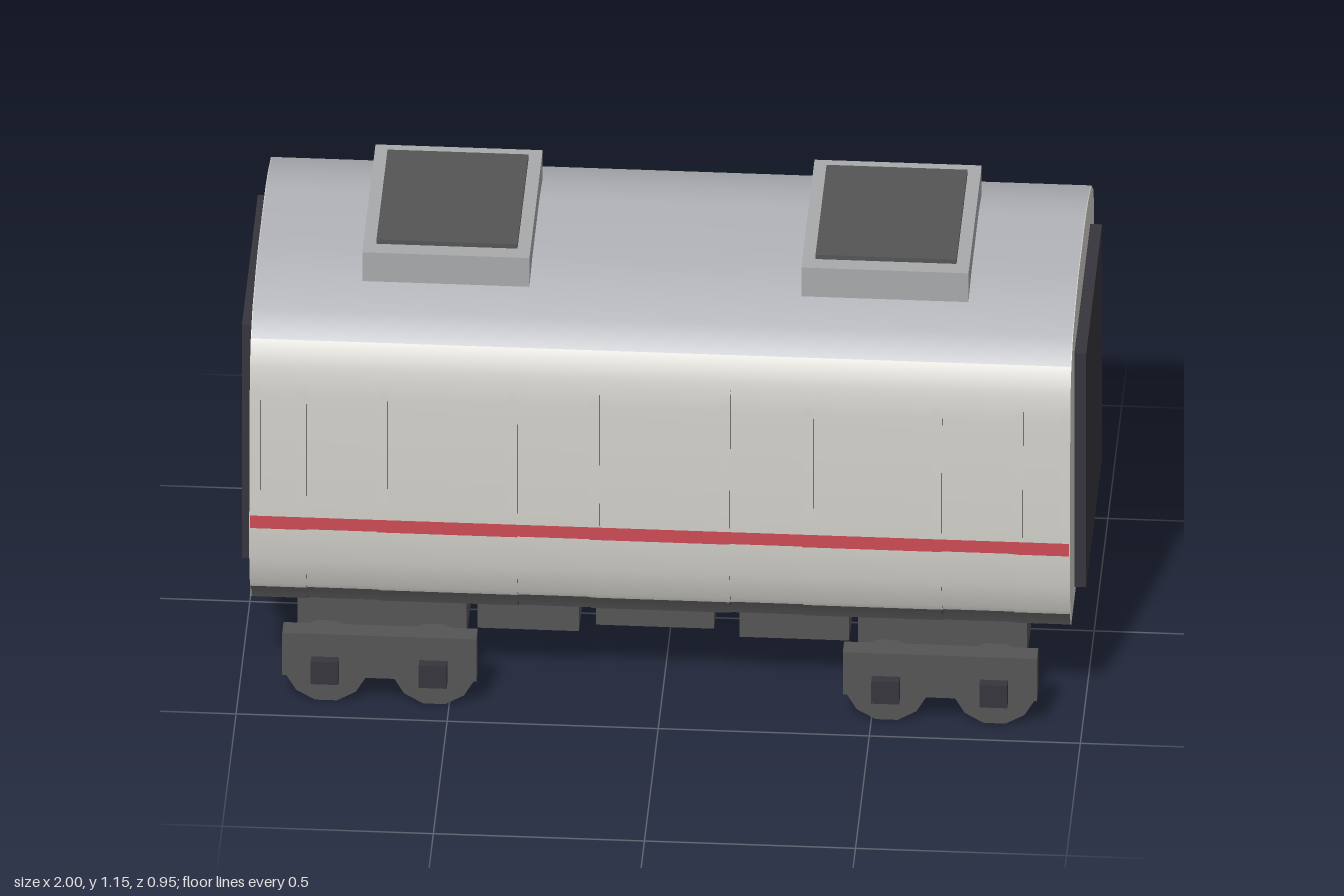
import * as THREE from 'three';

const mat = (name, color) => Object.assign(new THREE.MeshStandardMaterial({ color }), { name });

// Half cross-section of the body: [z, y] from the sill up to the crown
const SECTION = [[0.40, 0.268], [0.413, 0.305], [0.43, 0.325], [0.451, 0.405], [0.451, 0.49], [0.451, 0.525], [0.45, 0.57],
  [0.443, 0.72], [0.433, 0.86], [0.427, 0.925], [0.396, 0.985], [0.335, 1.033], [0.216, 1.064], [0.125, 1.076]];
// The same side with a flat sunk panel between waist and eaves
const SUNK = [[0.451, 0.525], [0.436, 0.55], [0.425, 0.84], [0.429, 0.9], [0.427, 0.925], [0.396, 0.985]];

// Averaged outward normal [z, y] at each point of the section
const NORMALS = SECTION.map((p, i) => {
  const a = SECTION[Math.max(i - 1, 0)];
  const b = SECTION[i + 1] || [-0.125, 1.076];
  const n = new THREE.Vector2(b[1] - a[1], a[0] - b[0]).normalize();
  return [n.x, n.y];
});

function normalAt(y) {
  let i = 0;
  while (i < SECTION.length - 2 && SECTION[i + 1][1] < y) i++;
  const t = THREE.MathUtils.clamp((y - SECTION[i][1]) / (SECTION[i + 1][1] - SECTION[i][1]), 0, 1);
  return [0, 1].map((k) => THREE.MathUtils.lerp(NORMALS[i][k], NORMALS[i + 1][k], t));
}

// Extrudes a mirrored half section along x, with smooth side normals
function band(half, x0, x1, inset = 0) {
  const right = half.map(([z, y]) => new THREE.Vector2(z - inset, y));
  const left = right.map((p) => new THREE.Vector2(-p.x, p.y)).reverse();
  const g = new THREE.ExtrudeGeometry(new THREE.Shape([...right, ...left]), { depth: x1 - x0, bevelEnabled: false });
  g.rotateY(Math.PI / 2).translate(x0, 0, 0);
  const p = g.attributes.position, n = g.attributes.normal;
  for (let i = 0; i < p.count; i++) {
    const y = p.getY(i), ny = n.getY(i);
    if (Math.abs(n.getX(i)) > 0.5 || ny < -0.95 || (ny > 0.95 && y < 1)) continue;
    const [nz, nny] = normalAt(y);
    n.setXYZ(i, 0, nny, nz * Math.sign(p.getZ(i)));
  }
  return g;
}

export function createModel() {
  const model = new THREE.Group();
  model.name = 'railCar';
  const cream = mat('cream body', 0xcfcdc7);
  const red = mat('red stripe', 0xcc4a54);
  const roofGrey = mat('roof grey', 0xb2b4b9);
  const unitGrey = mat('roof unit grey', 0xa8aaab);
  const under = mat('underframe grey', 0x555556);
  const dark = mat('dark charcoal', 0x36353c);
  const shadowGap = mat('panel gap black', 0x1c1c1e);

  const add = (parent, name, geometry, material) => {
    const mesh = new THREE.Mesh(geometry, material);
    mesh.name = name;
    parent.add(mesh);
    return mesh;
  };
  // Box given by its extents
  const box = (parent, name, material, x0, x1, y0, y1, z0, z1) =>
    add(parent, name, new THREE.BoxGeometry(x1 - x0, y1 - y0, z1 - z0), material)
      .position.set((x0 + x1) / 2, (y0 + y1) / 2, (z0 + z1) / 2);

  // Body split along its length into pillars (p), windows (w) and doors (d)
  const body = new THREE.Group();
  body.name = 'body';
  model.add(body);
  const cuts = [-0.97, -0.947, -0.86, -0.838, -0.668, -0.645, -0.363, -0.338, -0.166, -0.143,
    0.143, 0.166, 0.338, 0.363, 0.645, 0.668, 0.838, 0.86, 0.947, 0.97];
  const kinds = 'pwpdpwpdpwpdpwpdpwp';
  const slice = (a, b) => SECTION.slice(a, b + 1);
  for (let i = 0; i < kinds.length; i++) {
    const [x0, x1, kind] = [cuts[i], cuts[i + 1], kinds[i]];
    const inset = kind === 'd' ? 0.003 : 0;
    const upper = kind === 'p' ? slice(5, 10) : SUNK;
    const caps = kind === 'p' ? shadowGap : cream;
    add(body, 'skirt', band(slice(0, 1), x0, x1, inset), [caps, under]);
    add(body, 'lowerSide', band(slice(1, 4), x0, x1, inset), [caps, cream]);
    add(body, 'stripe', band(slice(4, 5), x0, x1, inset), [caps, red]);
    add(body, { p: 'pillar', w: 'windowPanel', d: 'doorPanel' }[kind], band(upper, x0, x1), [caps, cream]);
  }
  add(body, 'roof', band(slice(10, 13), -0.97, 0.97), [cream, roofGrey]);

  for (const s of [-1, 1]) {
    // End wall and gangway door
    const x = s * 0.97;
    add(body, 'endWall', band(SECTION, Math.min(x, x + s * 0.002), Math.max(x, x + s * 0.002)), cream);
    box(body, 'endDoor', dark, Math.min(x, s), Math.max(x, s), 0.303, 0.955, -0.288, 0.288);

    // Roof unit with dark lid
    const c = s * 0.52;
    box(model, 'roofUnit', unitGrey, c - 0.198, c + 0.198, 1.03, 1.138, -0.24, 0.24);
    box(model, 'roofUnitLid', under, c - 0.167, c + 0.167, 1.138, 1.15, -0.2, 0.2);

    // Bogie
    const bogie = new THREE.Group();
    bogie.name = 'bogie';
    bogie.position.x = s * 0.664;
    model.add(bogie);
    box(bogie, 'bolster', under, -0.2, 0.2, 0.14, 0.25, -0.35, 0.35);
    box(bogie, 'pivot', under, -0.1, 0.1, 0.25, 0.27, -0.1, 0.1);
    for (const side of [-1, 1]) {
      const slab = (name, m, x0, x1, y0, y1, za, zb) =>
        box(bogie, name, m, x0, x1, y0, y1, Math.min(side * za, side * zb), Math.max(side * za, side * zb));
      slab('sideFrame', under, -0.23, 0.23, 0.082, 0.2, 0.402, 0.45);
      for (const wx of [-0.128, 0.128]) {
        slab('axleBox', dark, wx - 0.033, wx + 0.033, 0.075, 0.137, 0.45, 0.475);
        const wheel = new THREE.CylinderGeometry(0.1, 0.1, 0.047, 12).rotateY(Math.PI / 12).rotateX(Math.PI / 2);
        add(bogie, 'wheel', wheel, under).position.set(wx, 0.097, side * 0.401);
      }
    }
  }

  // Equipment boxes hung under the floor
  for (const [x0, x1, y0] of [[-0.44, -0.2, 0.145], [-0.16, 0.12, 0.165], [0.18, 0.44, 0.145]])
    box(model, 'equipmentBox', under, x0, x1, y0, 0.27, -0.31, 0.31);

  return model;
}
